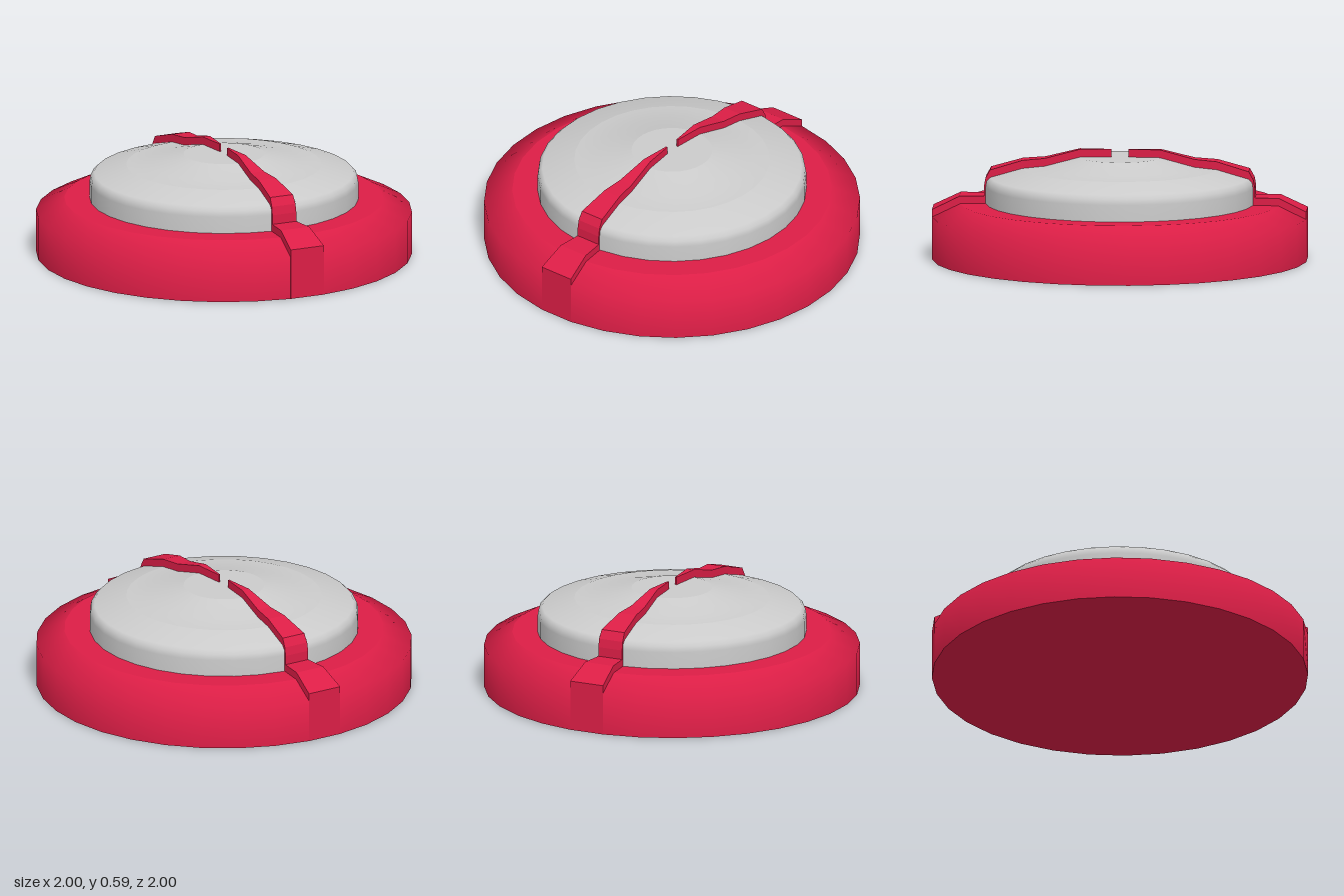
import * as THREE from 'three';

const SIDES = 32;
const STEP = (Math.PI * 2) / SIDES;
const red = new THREE.MeshStandardMaterial({ color: 0xdc1e46 });
const grey = new THREE.MeshStandardMaterial({ color: 0xcccccc });

// Each profile piece is smooth in itself; joins between pieces stay sharp.
function turned(name, material, pieces) {
  const group = new THREE.Group();
  group.name = name;
  pieces.forEach((piece, i) => {
    const points = piece.map(([r, y]) => new THREE.Vector2(r, y));
    const mesh = new THREE.Mesh(new THREE.LatheGeometry(points, SIDES), material);
    mesh.name = `${name}Surface${i + 1}`;
    group.add(mesh);
  });
  return group;
}

// Extrudes a (radius, height) outline, then fans its depth over one side of the disc.
function wedge(name, outline) {
  const shape = new THREE.Shape(outline.map(([r, y]) => new THREE.Vector2(r, y)));
  const geometry = new THREE.ExtrudeGeometry(shape, { depth: 1, bevelEnabled: false });
  const p = geometry.attributes.position;
  for (let i = 0; i < p.count; i++) {
    const r = p.getX(i);
    const angle = STEP * (1 + p.getZ(i));
    p.setXYZ(i, r * Math.cos(angle), p.getY(i), r * Math.sin(angle));
  }
  geometry.computeVertexNormals();
  const mesh = new THREE.Mesh(geometry, red);
  mesh.name = name;
  return mesh;
}

export function createModel() {
  const model = new THREE.Group();
  model.name = 'buttonDisc';

  // Wide base: underside, bevelled wall, flat top
  model.add(turned('base', red, [
    [[0, 0], [1, 0]],
    [[1, 0], [1, 0.23], [0.85, 0.3]],
    [[0.85, 0.3], [0.68, 0.3]],
  ]));

  // Raised cap: rounded wall, shallow slope, flat centre
  model.add(turned('cap', grey, [
    [[0.715, 0.29], [0.715, 0.39], [0.71, 0.42], [0.69, 0.44], [0.52, 0.487]],
    [[0.52, 0.487], [0.4, 0.498], [0.215, 0.545]],
    [[0.215, 0.545], [0, 0.545]],
  ]));

  // Tapering pointer ribs on opposite sides, following the surface below
  for (const turn of [0, Math.PI]) {
    const pointer = new THREE.Group();
    pointer.name = turn ? 'rightPointer' : 'leftPointer';
    pointer.add(wedge('capRib', [
      [0.045, 0.53], [0.5, 0.45], [0.6, 0.28], [0.725, 0.28], [0.725, 0.39],
      [0.717, 0.435], [0.692, 0.48], [0.52, 0.53], [0.4, 0.54], [0.215, 0.587], [0.045, 0.587],
    ]));
    pointer.add(wedge('baseRib', [
      [0.69, 0.28], [0.84, 0.28], [0.96, 0.22], [0.96, 0.002], [1.001, 0.002],
      [1.001, 0.27], [0.855, 0.34], [0.69, 0.34],
    ]));
    pointer.rotation.y = turn;
    model.add(pointer);
  }
  return model;
}
